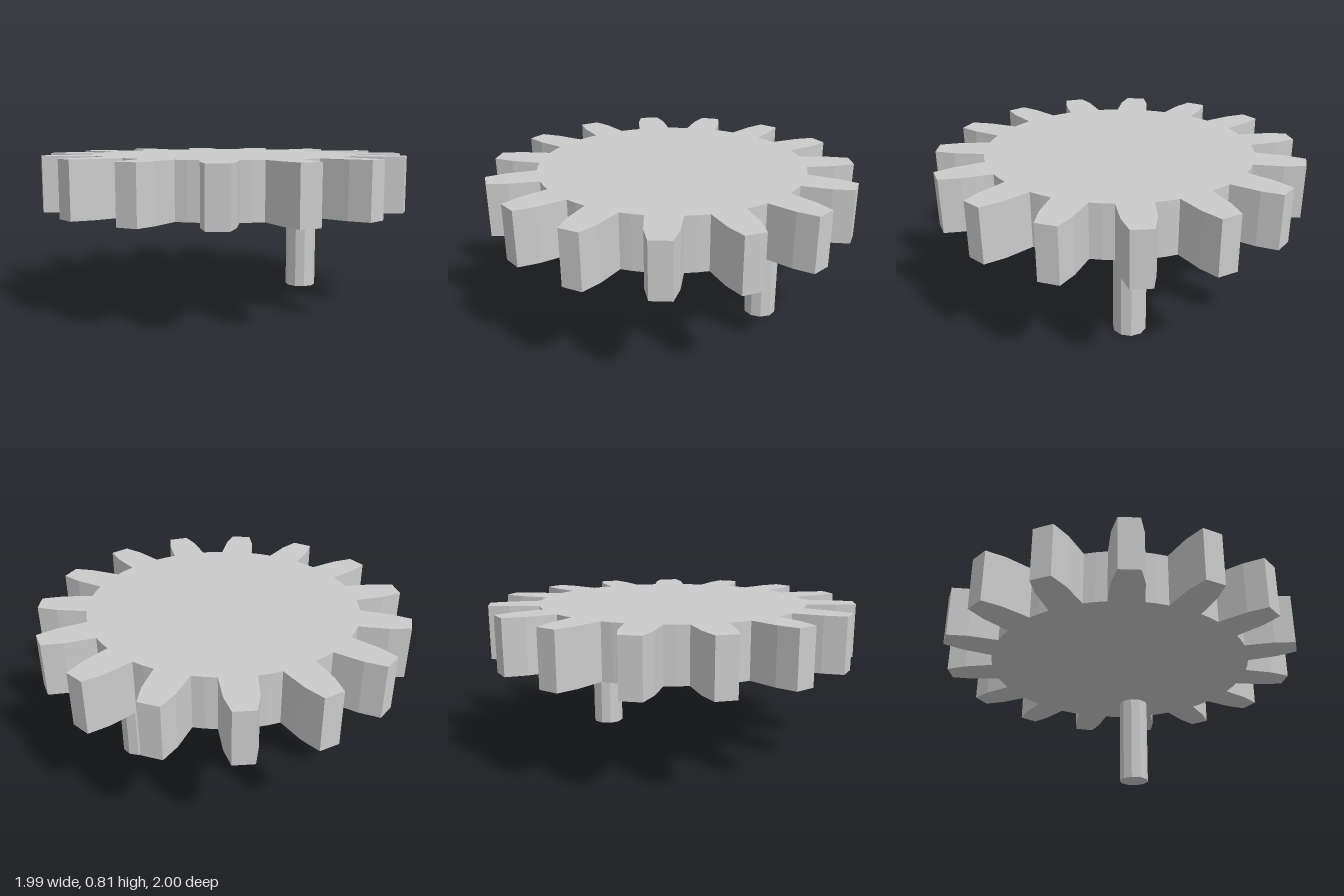
import * as THREE from 'three';

export function createModel() {
  const group = new THREE.Group();
  const material = new THREE.MeshStandardMaterial({ color: 0xcccccc, flatShading: true });

  const teeth = 15;
  const rootRadius = 0.735;
  const centerX = -0.01;
  const bottom = 0.515;
  const top = 0.808;

  // One tooth pointing along +x: root, flank, tip, mirrored, then the valley's middle
  const flank = [[0.729, 0.092], [0.89, 0.082], [1.0, 0.055]];
  const valley = Math.PI / teeth;
  const tooth = [
    ...flank.map(([x, y]) => [x, -y]),
    ...[...flank].reverse(),
    [rootRadius * Math.cos(valley), rootRadius * Math.sin(valley)],
  ];

  // Gear outline repeated around the centre
  const outline = [];
  for (let i = 0; i < teeth; i++) {
    const angle = (i / teeth) * Math.PI * 2;
    for (const [x, y] of tooth) {
      outline.push(new THREE.Vector2(x, y).rotateAround(new THREE.Vector2(), angle));
    }
  }
  const gearGeometry = new THREE.ExtrudeGeometry(new THREE.Shape(outline), {
    depth: top - bottom,
    bevelEnabled: false,
  });
  gearGeometry.rotateX(-Math.PI / 2);
  const gear = new THREE.Mesh(gearGeometry, material);
  gear.name = 'gearWheel';
  gear.position.set(centerX, bottom, 0);
  group.add(gear);

  // Off-centre crank pin below the wheel
  const pin = new THREE.Mesh(
    new THREE.CylinderGeometry(0.088, 0.088, bottom, 10, 1, false, Math.PI / 2),
    material
  );
  pin.name = 'crankPin';
  pin.position.set(0.523, bottom / 2, 0);
  group.add(pin);

  return group;
}
